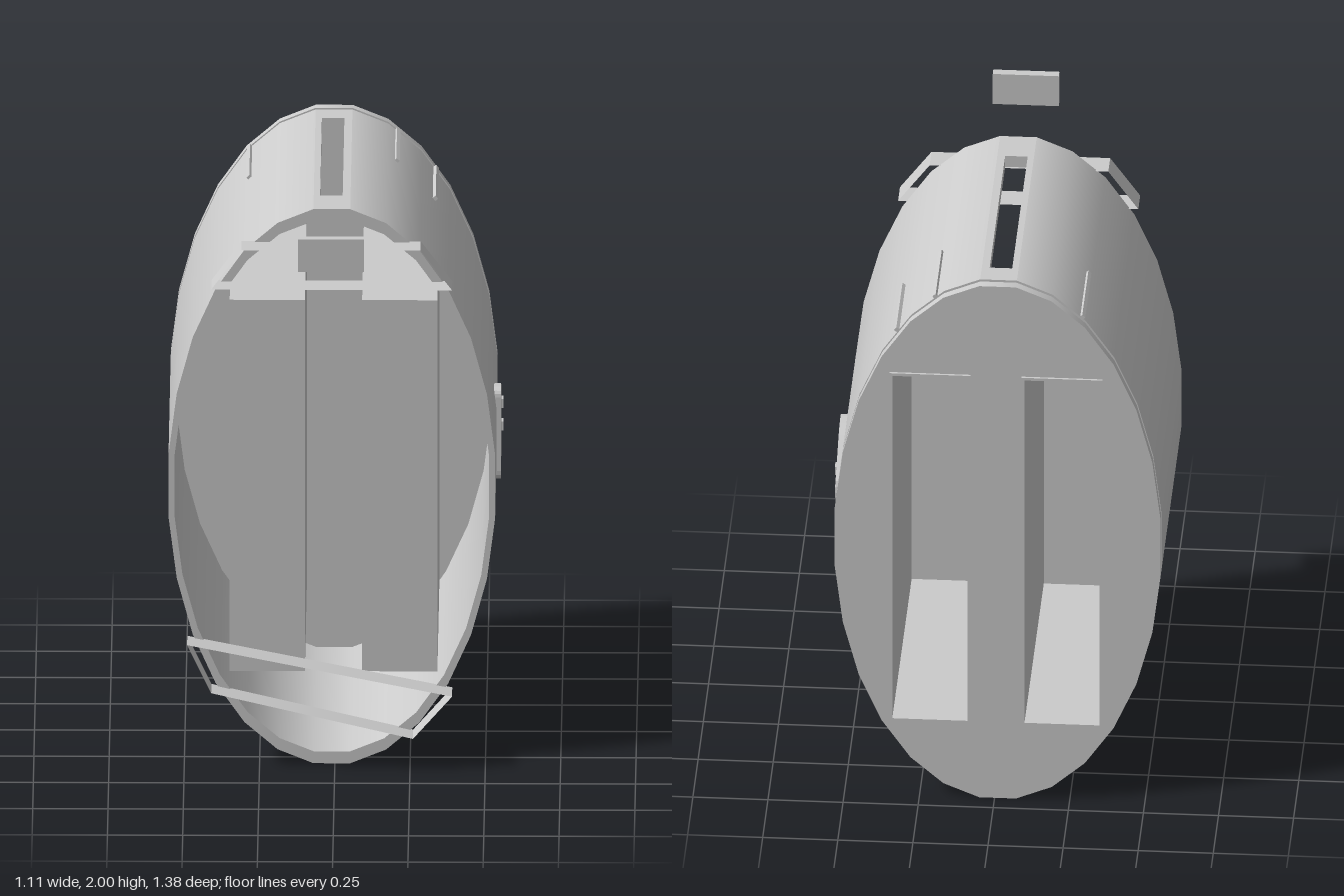
import * as THREE from 'three';

const CX = -0.01, CY = 0.985, RX = 0.546, RY = 0.988, SIDES = 28;
const STEP = (Math.PI * 2) / SIDES;
const FRONT = 0.31, BACK = -0.685;

export function createModel() {
  const root = new THREE.Group();
  const mat = new THREE.MeshStandardMaterial({ color: 0xcccccc, side: THREE.DoubleSide });

  const add = (name, geo, x = 0, y = 0, z = 0) => {
    const m = new THREE.Mesh(geo, mat);
    m.name = name;
    m.position.set(x, y, z);
    root.add(m);
    return m;
  };
  const box = (name, x0, x1, y0, y1, z0, z1) =>
    add(name, new THREE.BoxGeometry(x1 - x0, y1 - y0, z1 - z0), (x0 + x1) / 2, (y0 + y1) / 2, (z0 + z1) / 2);

  // Elliptical wall between two depths; gap leaves out the flat top facet
  const wall = (name, rx, ry, z0, z1, gap = false) => {
    const g = new THREE.CylinderGeometry(1, 1, z1 - z0, gap ? SIDES - 1 : SIDES, 1, true,
      Math.PI + STEP / 2, Math.PI * 2 - (gap ? STEP : 0));
    g.rotateX(Math.PI / 2).scale(rx, ry, 1);
    return add(name, g, CX, CY, (z0 + z1) / 2);
  };
  const ellipse = (rx, ry) => Array.from({ length: SIDES }, (_, i) => {
    const a = (i + 0.5) * STEP;
    return new THREE.Vector2(CX + rx * Math.sin(a), CY + ry * Math.cos(a));
  });
  const rect = (x0, x1, y0, y1) => [[x0, y0], [x1, y0], [x1, y1], [x0, y1]].map((p) => new THREE.Vector2(...p));

  // Shell: outer and inner skins, front rim, shadow groove and rear band
  const IX = RX - 0.02, IY = RY - 0.042;
  wall('outerShell', RX, RY, -0.64, FRONT, true);
  wall('innerShell', IX, IY, BACK, FRONT, true);
  const rim = new THREE.Shape(ellipse(RX, RY));
  rim.holes.push(new THREE.Path(ellipse(IX, IY)));
  add('frontRim', new THREE.ShapeGeometry(rim), 0, 0, FRONT);
  add('grooveEdge', new THREE.ShapeGeometry(rim), 0, 0, -0.64);
  add('bandEdge', new THREE.ShapeGeometry(rim), 0, 0, -0.655);
  wall('groove', RX - 0.008, RY - 0.008, -0.655, -0.64);
  wall('rearBand', RX, RY, BACK, -0.655);

  // Flat top strip with the lever slot
  const half = RX * Math.sin(STEP / 2), topY = CY + RY * Math.cos(STEP / 2);
  const strip = new THREE.Shape(rect(CX - half, CX + half, -FRONT, 0.64));
  strip.holes.push(new THREE.Path(rect(-0.05, 0.025, -0.18, 0.56)));
  const stripGeo = new THREE.ExtrudeGeometry(strip, { depth: 0.042, bevelEnabled: false });
  stripGeo.rotateX(-Math.PI / 2);
  add('leverSlotPanel', stripGeo, 0, topY - 0.042, 0);

  // End plate with two openings, their raised frames and the wells behind
  const slots = [[-0.35, -0.10], [0.09, 0.34]], Y0 = 0.3, Y1 = 1.615;
  const plate = new THREE.Shape(ellipse(RX, RY));
  for (const [x0, x1] of slots) plate.holes.push(new THREE.Path(rect(x0, x1, Y0, Y1)));
  add('endPlate', new THREE.ShapeGeometry(plate), 0, 0, BACK);
  for (const [x0, x1] of slots) {
    const frame = new THREE.Shape(rect(x0 - 0.01, x1 + 0.01, Y0 - 0.01, Y1 + 0.01));
    frame.holes.push(new THREE.Path(rect(x0, x1, Y0, Y1)));
    add('slotFrame', new THREE.ExtrudeGeometry(frame, { depth: 0.012, bevelEnabled: false }), 0, 0, BACK - 0.008);
    const depth = 0.23 - BACK, h = Y1 - Y0, w = x1 - x0, my = (Y0 + Y1) / 2, mz = BACK + depth / 2;
    for (const [x, s] of [[x0, -1], [x1, 1]]) {
      add('wellSide', new THREE.PlaneGeometry(depth, h), x, my, mz).rotation.y = (s * Math.PI) / 2;
    }
    for (const [y, s] of [[Y0, 1], [Y1, -1]]) {
      add('wellEnd', new THREE.PlaneGeometry(w, depth), (x0 + x1) / 2, y, mz).rotation.x = (s * Math.PI) / 2;
    }
    add('wellFloor', new THREE.PlaneGeometry(w, h), (x0 + x1) / 2, my, 0.23);
  }

  // Open bracket feet: a closed outline of thin strips
  const foot = (name, pts) => {
    const pos = [];
    pts.forEach(([ax, ay], i) => {
      const [bx, by] = pts[(i + 1) % pts.length];
      const a = [ax, ay, 0.3], b = [bx, by, 0.3], c = [bx, by, 0.39], d = [ax, ay, 0.39];
      pos.push(...a, ...b, ...c, ...a, ...c, ...d);
    });
    const g = new THREE.BufferGeometry();
    g.setAttribute('position', new THREE.Float32BufferAttribute(pos, 3));
    g.computeVertexNormals();
    add(name, g);
  };
  foot('upperFoot', [[-0.41, 1.71], [0.39, 1.71], [0.285, 1.85], [-0.31, 1.85]]);
  foot('lowerFoot', [[-0.41, 0.28], [0.26, 0.12], [0.39, 0.27], [-0.49, 0.45]]);

  // Thin ribs lying along the upper shell
  for (const x of [-0.283, 0.196, 0.322]) {
    const a = Math.asin((x - CX) / RX);
    const rib = add('rib', new THREE.BoxGeometry(0.014, 0.03, 0.295), x, CY + RY * Math.cos(a) - 0.012, -0.4925);
    rib.rotation.z = -Math.atan2(RY * Math.sin(a), RX * Math.cos(a));
  }

  // Side control pad with rounded corners and two buttons
  const pad = new THREE.Shape();
  pad.moveTo(0.15, 0.87);
  pad.lineTo(0.15, 1.13);
  pad.quadraticCurveTo(0.15, 1.165, 0.2, 1.155);
  pad.quadraticCurveTo(0.25, 1.15, 0.29, 1.125);
  pad.lineTo(0.42, 1.045);
  pad.quadraticCurveTo(0.45, 1.0, 0.42, 0.95);
  pad.lineTo(0.29, 0.87);
  pad.quadraticCurveTo(0.25, 0.845, 0.2, 0.835);
  pad.quadraticCurveTo(0.15, 0.825, 0.15, 0.87);
  const padGeo = new THREE.ExtrudeGeometry(pad, { depth: 0.04, bevelEnabled: false, curveSegments: 5 });
  padGeo.rotateY(Math.PI / 2);
  add('controlPad', padGeo, 0.508, 0, 0);
  for (const y of [0.965, 1.045]) box('button', 0.54, 0.555, y - 0.016, y + 0.016, -0.355, -0.322);

  // Detached lever knob
  box('leverKnob', -0.12, 0.10, 1.885, 2.0, 0.66, 0.69);

  return root;
}
